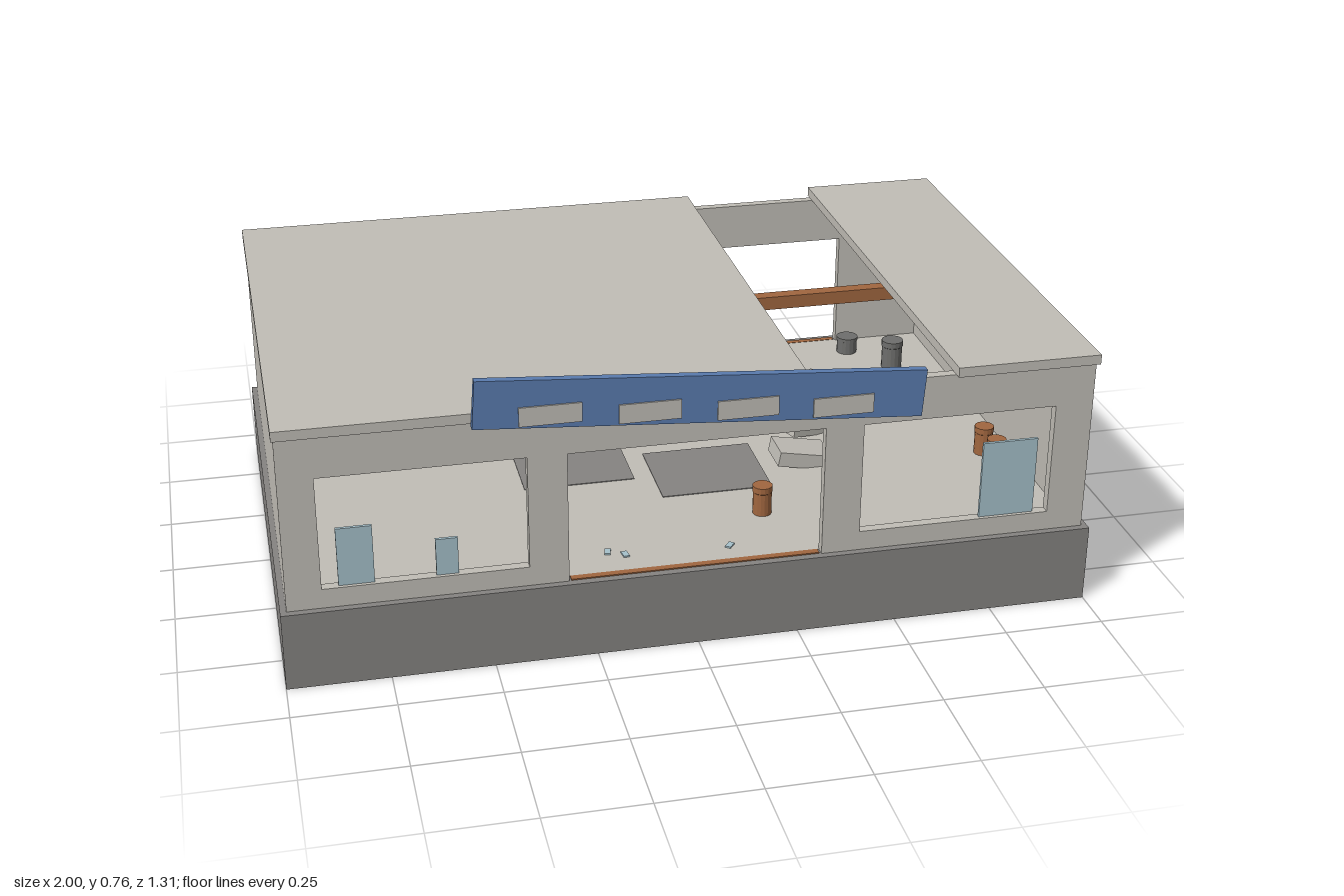
import * as THREE from 'three';

const mat = (name, color) => {
  const m = new THREE.MeshStandardMaterial({ color });
  m.name = name;
  return m;
};

export function createModel() {
  const model = new THREE.Group();
  const concrete = mat('pale concrete', 0xc0bdb6);
  const foundation = mat('dark foundation', 0x858381);
  const blue = mat('sign blue', 0x5a7cb0);
  const glass = mat('glass', 0xa5c0ca);
  const rust = mat('rusty brown', 0xa0663f);
  const steel = mat('barrel grey', 0x6e6e6c);

  const add = (name, geo, material, x, y, z) => {
    const mesh = new THREE.Mesh(geo, material);
    mesh.name = name;
    mesh.position.set(x, y, z);
    model.add(mesh);
    return mesh;
  };
  // Box given by its lower and upper limits on each axis
  const block = (name, material, [x0, x1], [y0, y1], [z0, z1]) =>
    add(name, new THREE.BoxGeometry(x1 - x0, y1 - y0, z1 - z0), material,
      (x0 + x1) / 2, (y0 + y1) / 2, (z0 + z1) / 2);

  const FLOOR = 0.2;
  // Wall with openings [u0, u1, bottom, top]; those at floor level notch the outline
  const wallGeometry = (u0, u1, top, openings, depth) => {
    const s = new THREE.Shape();
    s.moveTo(u0, FLOOR);
    for (const [a, b, lo, hi] of openings) {
      if (lo <= FLOOR) {
        s.lineTo(a, FLOOR).lineTo(a, hi).lineTo(b, hi).lineTo(b, FLOOR);
      } else {
        const h = new THREE.Path();
        h.moveTo(a, lo).lineTo(a, hi).lineTo(b, hi).lineTo(b, lo).closePath();
        s.holes.push(h);
      }
    }
    s.lineTo(u1, FLOOR).lineTo(u1, top).lineTo(u0, top).closePath();
    return new THREE.ExtrudeGeometry(s, { depth, bevelEnabled: false });
  };

  // Foundation and interior floor
  block('foundation', foundation, [-1, 1], [0, FLOOR], [-0.65, 0.63]);
  block('floor', concrete, [-0.965, 0.965], [0.195, 0.202], [-0.617, 0.592]);

  // Outer walls
  const T = 0.025;
  add('frontWall', wallGeometry(-0.985, 0.985, 0.65, [
    [-0.9, -0.41, 0.25, 0.54], [-0.315, 0.31, FLOOR, 0.54], [0.405, 0.89, 0.25, 0.54],
  ], T), concrete, 0, 0, 0.587);
  add('backWall', wallGeometry(-0.985, 0.985, 0.65, [[0.365, 0.715, FLOOR, 0.525]], T),
    concrete, 0, 0, -0.637);
  add('rightSideWall', wallGeometry(-0.612, 0.587, 0.65, [[-0.262, -0.172, FLOOR, 0.39]], T),
    concrete, 0.985, 0, 0).rotation.y = -Math.PI / 2;
  block('leftSideWall', concrete, [-0.985, -0.96], [FLOOR, 0.65], [-0.612, 0.587]);

  // Low inner partition with a doorway
  add('partition', wallGeometry(-0.96, -0.36, 0.47, [[-0.555, -0.47, FLOOR, 0.39]], 0.012),
    concrete, 0, 0, -0.243);

  // Two roof slabs with a collapsed gap between, and the exposed beam
  block('roofLarge', concrete, [-0.99, 0.27], [0.65, 0.675], [-0.655, 0.63]);
  block('roofSmall', concrete, [0.628, 0.988], [0.65, 0.675], [-0.655, 0.63]);
  block('roofBeam', rust, [0.1, 0.8], [0.59, 0.625], [-0.032, 0.002]);

  // Hanging sign with four blank panels
  add('signBoard', new THREE.BoxGeometry(1.075, 0.12, 0.02), blue, 0, 0.667, 0.642)
    .rotation.z = -0.07;
  for (const [x, y] of [[-0.36, 0.666], [-0.127, 0.65], [0.106, 0.635], [0.337, 0.618]])
    add('signPanel', new THREE.BoxGeometry(0.147, 0.048, 0.006), concrete, x, y, 0.653);

  // Broken panes left in the windows
  for (const [a, b, top] of [[-0.86, -0.775, 0.4], [-0.63, -0.577, 0.345], [0.715, 0.855, 0.452]])
    block('brokenPane', glass, [a, b], [0.25, top], [0.595, 0.603]);

  // Glass shards on the floor
  for (const [x, z] of [[0.39, 0.545], [-0.2, 0.5], [-0.16, 0.52], [0.1, 0.53]])
    add('glassShard', new THREE.BoxGeometry(0.025, 0.004, 0.015), glass, x, 0.204, z)
      .rotation.y = x * 9;

  // Rusty thresholds in the large openings
  block('frontThreshold', rust, [-0.31, 0.305], [FLOOR, 0.203], [0.592, 0.61]);
  block('backThreshold', rust, [0.37, 0.71], [FLOOR, 0.203], [-0.634, -0.617]);

  // Dark stains on the floor
  for (const [x, z] of [[-0.2, 0.01], [0, -0.32], [0.14, 0.125]])
    block('floorStain', foundation, [x - 0.145, x + 0.145], [FLOOR, 0.204], [z - 0.125, z + 0.125]);

  // Fallen concrete chunks: x, z, length, turn, tilt
  for (const [x, z, len, turn, tilt] of [
    [0.535, -0.24, 0.14, 0.7, 0.2], [0.465, -0.06, 0.15, 0.35, -0.15], [0.395, 0.12, 0.14, 0, -0.18],
  ]) {
    const chunk = add('rubbleChunk', new THREE.BoxGeometry(len, 0.04, 0.1), concrete, x, 0.222, z);
    chunk.rotation.set(0, turn, tilt);
  }

  // Barrels with a raised rim
  const barrel = (material, x, z, r, h) => {
    const profile = [[0, 0], [r, 0], [r, h * 0.78], [r * 1.06, h * 0.8], [r * 1.06, h], [0, h]]
      .map(([a, b]) => new THREE.Vector2(a, b));
    const geo = new THREE.LatheGeometry(profile, 16).toNonIndexed();
    geo.computeVertexNormals();
    add('barrel', geo, material, x, FLOOR, z);
  };
  barrel(steel, -0.095, -0.53, 0.029, 0.065);
  barrel(steel, 0.82, -0.4, 0.029, 0.085);
  barrel(steel, 0.725, -0.53, 0.029, 0.05);
  barrel(rust, 0.222, 0.38, 0.024, 0.08);
  barrel(rust, 0.885, 0.18, 0.024, 0.08);
  barrel(rust, 0.89, 0.26, 0.024, 0.08);

  return model;
}
